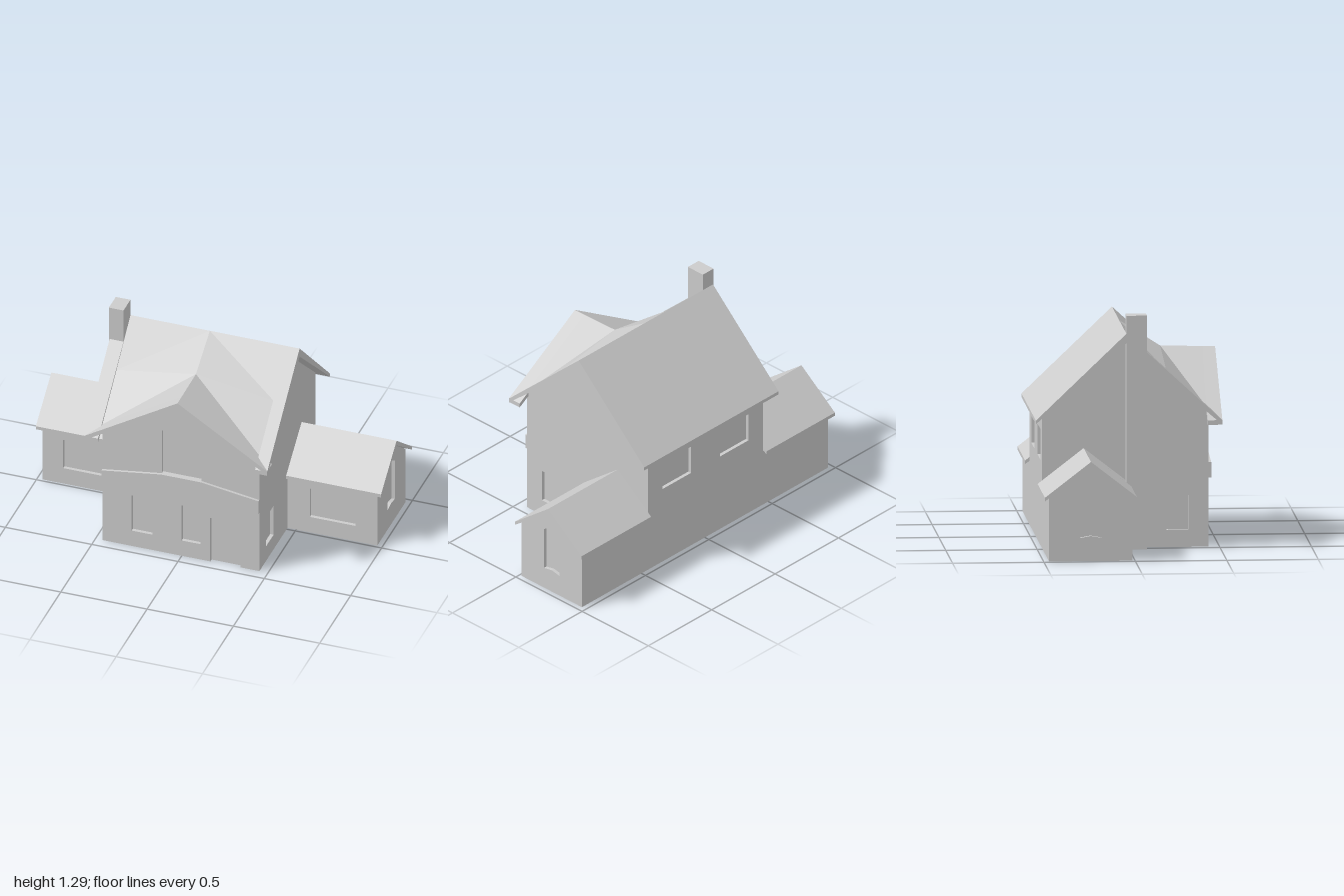
import * as THREE from 'three';

const material = new THREE.MeshStandardMaterial({ color: 0xcccccc, flatShading: true, side: THREE.DoubleSide });

export function createModel() {
  const house = new THREE.Group();
  const add = (name, geometry) => {
    const mesh = new THREE.Mesh(geometry, material);
    mesh.name = name;
    house.add(mesh);
  };
  const rect = (x0, x1, y0, y1) => [[x0, y0], [x1, y0], [x1, y1], [x0, y1]];
  const extrude = (outline, holes, depth) => {
    const vectors = (pts) => pts.map(([x, y]) => new THREE.Vector2(x, y));
    const shape = new THREE.Shape(vectors(outline));
    holes.forEach((h) => shape.holes.push(new THREE.Path(vectors(h))));
    return new THREE.ExtrudeGeometry(shape, { depth, bevelEnabled: false });
  };
  // [x, y] outline swept from z0 to z1
  const alongZ = (name, outline, z0, z1, holes = []) =>
    add(name, extrude(outline, holes, z1 - z0).translate(0, 0, z0));
  // [z, y] outline swept from x0 to x1
  const alongX = (name, outline, x0, x1, holes = []) =>
    add(name, extrude(outline, holes, x1 - x0).rotateY(-Math.PI / 2).translate(x1, 0, 0));

  const T = 0.02; // depth of the window recesses
  const L = -0.46, R = 0.45, W = 0.97, FRONT = 0.44, BACK = -0.47, MID = -0.015;

  // Solid cores: their faces are the recessed panes
  const bodyEnd = (t) => [[BACK + t, 0], [FRONT - t, 0], [FRONT - t, 0.74], [MID, 1.135], [BACK + t, 0.73]];
  const wingEnd = (t) => [[BACK + t, 0], [MID - t, 0], [MID - t, 0.35], [-0.243, 0.52], [BACK + t, 0.35]];
  alongX('bodyCore', bodyEnd(T), L + T, R - T);
  alongX('wingCore', wingEnd(T), -W + T, W - T);
  alongZ('frontGableCore', [[L + T, 0.1], [R - T, 0.1], [R - T, 0.74], [0, 1], [L + T, 0.74]], 0.22, FRONT - T);

  // Front wall with the doorway cut into its outline
  alongZ('frontWall', [
    [L, 0], [0.165, 0], [0.165, 0.285], [0.34, 0.285], [0.34, 0], [R, 0], [R, 0.735], [0, 1], [L, 0.735],
  ], FRONT - T, FRONT, [
    rect(-0.29, -0.17, 0.1, 0.33), rect(0, 0.11, 0.1, 0.33), rect(-0.115, 0.115, 0.515, 0.795),
  ]);

  // Raised band across the front
  alongZ('frontBand', [
    [L, 0.38], [R, 0.38], [R, 0.465], [0.115, 0.515], [-0.115, 0.515], [L, 0.465],
  ], FRONT, 0.455);

  // Back wall shared by body and wings
  alongZ('backWall', [
    [-W, 0], [W, 0], [W, 0.35], [R, 0.35], [R, 0.73], [L, 0.73], [L, 0.35], [-W, 0.35],
  ], BACK, BACK + T, [rect(0.11, 0.335, 0.47, 0.64), rect(-0.345, -0.12, 0.47, 0.64)]);

  // Gable end walls, one window each
  const bodyWindow = rect(0.21, 0.33, 0.095, 0.285);
  const wingWindow = [[-0.3, 0.127], [-0.242, 0.138], [-0.183, 0.127], [-0.183, 0.38], [-0.242, 0.415], [-0.3, 0.38]];
  alongX('leftBodyWall', bodyEnd(0), R - T, R, [bodyWindow]);
  alongX('rightBodyWall', bodyEnd(0), L, L + T, [bodyWindow]);
  alongX('leftWingEnd', wingEnd(0), W - T, W, [wingWindow]);
  alongX('rightWingEnd', wingEnd(0), -W, -W + T, [wingWindow]);

  // Wing front walls
  alongZ('leftWingFront', rect(R - T, W, 0, 0.35), MID - T, MID, [rect(0.58, 0.845, 0.1, 0.285)]);
  alongZ('rightWingFront', rect(-W, L + T, 0, 0.35), MID - T, MID, [rect(-0.85, -0.587, 0.1, 0.285)]);

  // Wing roofs; the right one is notched beside the chimney
  const wingRoof = [[-0.243, 0.55], [-0.495, 0.355], [-0.495, 0.335], [-0.243, 0.52], [0.008, 0.335], [0.008, 0.355]];
  const notchedRoof = [[-0.243, 0.55], [-0.495, 0.355], [-0.495, 0.335], [-0.243, 0.52], [-0.02, 0.355], [-0.02, 0.377]];
  alongX('leftWingRoof', wingRoof, R, 1);
  alongX('rightWingRoof', wingRoof, -1, -0.588);
  alongX('rightWingRoofNotch', notchedRoof, -0.588, L);

  // Main roof: full back slope, front slope only beside the front gable
  alongX('mainRoofBack', [[MID, 1.188], [-0.51, 0.715], [-0.51, 0.695], [MID, 1.135]], -0.54, 0.52);
  const frontSlope = [[MID, 1.188], [MID, 1.135], [0.51, 0.682], [0.51, 0.707]];
  alongX('mainRoofFrontRight', frontSlope, -0.54, L);
  alongX('mainRoofFrontLeft', frontSlope, R, 0.52);

  // Overhanging rake of the front gable
  alongZ('frontGableRake', [
    [-0.54, 0.707], [-0.54, 0.682], [0, 1], [0.52, 0.685], [0.52, 0.71], [0, 1.04],
  ], 0.43, 0.51);

  // Folded roof surface joining the main ridge to the front gable
  for (const x of [R, L]) {
    const ridge = [0, 1.188, MID], ridgeEnd = [x, 1.188, MID];
    const fold = [0, 1.045, 0.21], foldEnd = [x, 0.97, 0.21];
    const gable = [0, 1.04, 0.44], eave = [x, 0.756, 0.44];
    const faces = [[ridge, fold, foldEnd], [ridge, foldEnd, ridgeEnd], [fold, gable, eave], [fold, eave, foldEnd]];
    if (x < 0) faces.forEach((f) => f.reverse());
    const geometry = new THREE.BufferGeometry();
    geometry.setAttribute('position', new THREE.Float32BufferAttribute(faces.flat(2), 3));
    geometry.computeVertexNormals();
    add(x > 0 ? 'gableRoofLeft' : 'gableRoofRight', geometry);
  }

  // Chimney rising from the ground
  alongX('chimney', rect(MID, 0.098, 0, 1.288), -0.545, L);

  return house;
}
